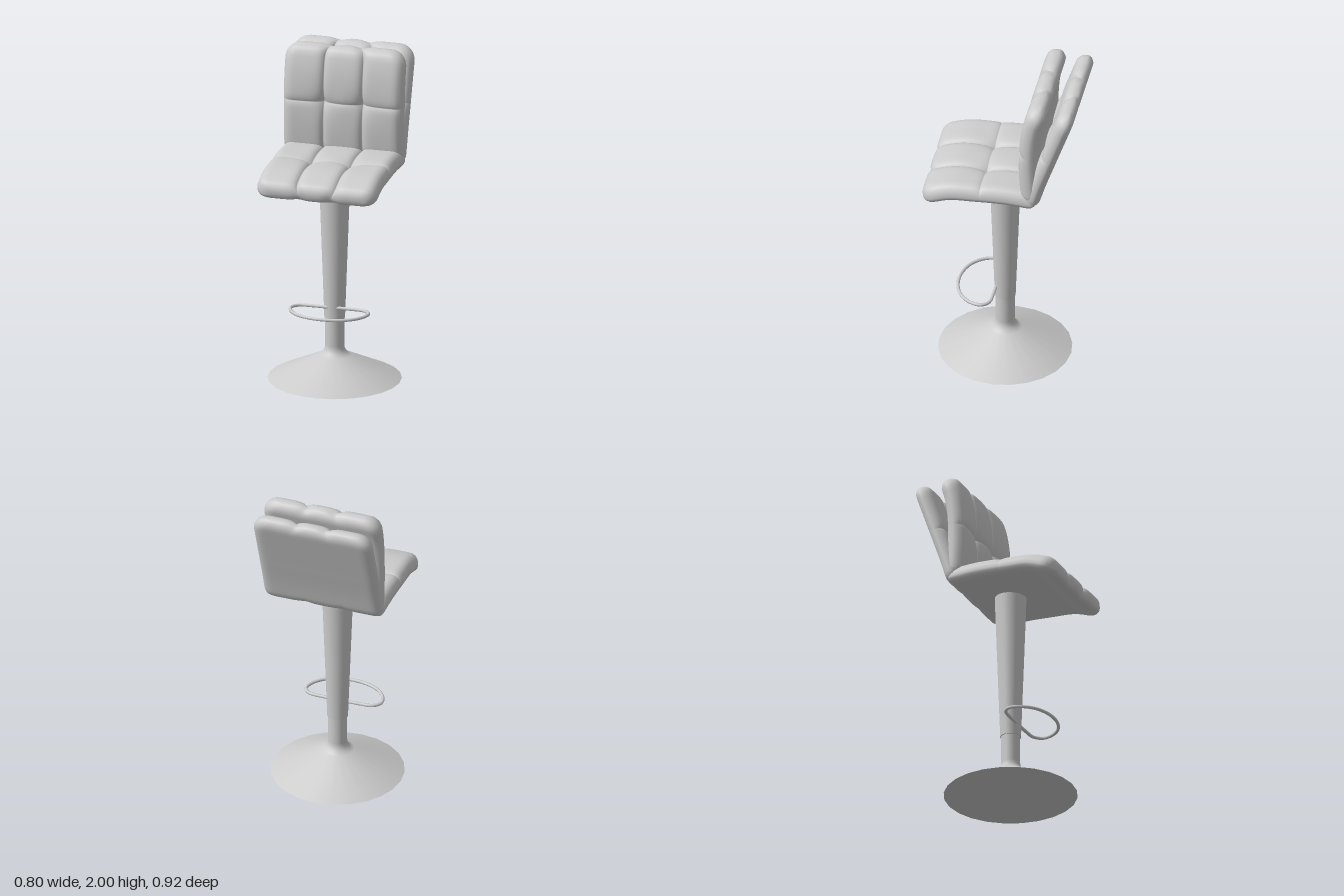
import * as THREE from 'three';
import { mergeVertices } from 'three/addons/utils/BufferGeometryUtils.js';

const grey = new THREE.MeshStandardMaterial({ color: 0xcccccc });
const AXIS_Z = 0.02;  // depth of the column axis
const SEAM_X = 0.12;  // sideways position of the two long seams

function addMesh(parent, name, geometry, x = 0, y = 0, z = 0) {
  const mesh = new THREE.Mesh(geometry, grey);
  mesh.name = name;
  mesh.position.set(x, y, z);
  parent.add(mesh);
  return mesh;
}

// Values running through the stops, packed closely around each stop
function clustered(stops, n) {
  const out = [stops[0]];
  for (let s = 0; s < stops.length - 1; s++) {
    for (let i = 1; i <= n; i++) {
      const t = (1 - Math.cos((Math.PI * i) / n)) / 2;
      out.push(THREE.MathUtils.lerp(stops[s], stops[s + 1], t));
    }
  }
  return out;
}

// Quarter-round rise from 0 to 1 over distance r
function round(d, r) {
  const s = 1 - Math.min(Math.max(d / r, 0), 1);
  return Math.sqrt(1 - s * s);
}

// Tufted cushion: closed loops swept along a [z, y] path, padded on one side
function cushion({ path, halfWidth, seam, front, back, startCorner, endCorner }) {
  const curve = new THREE.CatmullRomCurve3(path.map(([z, y]) => new THREE.Vector3(0, y, z)));
  const length = curve.getLength();
  const rows = clustered([0, seam, 1], 18);
  const k = SEAM_X / halfWidth;
  const cols = clustered([-1, -k, k, 1], 14);
  const n = cols.length - 1;
  const loop = 2 * n;
  const positions = [];
  const index = [];

  rows.forEach((v) => {
    const c = curve.getPointAt(v);
    const t = curve.getTangentAt(v);
    const dStart = v * length;
    const dEnd = (1 - v) * length;
    const d = Math.min(dStart, dEnd);
    // rounded corners in plan
    const w = halfWidth
      - startCorner * (1 - round(dStart, startCorner))
      - endCorner * (1 - round(dEnd, endCorner));
    const dSeam = Math.abs(v - seam) * length;

    for (let j = 0; j < loop; j++) {
      const padded = j <= n;
      const x = cols[padded ? j : loop - j] * w;
      const dx = Math.abs(Math.abs(x) - SEAM_X * w / halfWidth);
      const side = w - Math.abs(x);
      let h;
      if (padded) {
        const groove = 0.026 * Math.exp(-dx / 0.016)
          + 0.012 * Math.exp(-dSeam / 0.018)
          + 0.028 * Math.exp(-Math.hypot(dx, dSeam) / 0.055);
        h = (front - Math.min(groove, front * 0.8)) * round(side, 0.06) * round(d, 0.07);
      } else {
        h = -back * round(side, 0.06) * round(d, 0.06);
      }
      // scalloped ends where the long seams run out
      const pull = 0.013 * Math.exp(-((dx / 0.04) ** 2))
        * (Math.exp(-dStart / 0.06) - Math.exp(-dEnd / 0.06));
      positions.push(x, c.y + t.z * h + t.y * pull, c.z - t.y * h + t.z * pull);
    }
  });

  for (let i = 0; i < rows.length - 1; i++) {
    for (let j = 0; j < loop; j++) {
      const a = i * loop + j;
      const b = i * loop + ((j + 1) % loop);
      index.push(a, a + loop, b + loop, a, b + loop, b);
    }
  }
  let geometry = new THREE.BufferGeometry();
  geometry.setAttribute('position', new THREE.Float32BufferAttribute(positions, 3));
  geometry.setIndex(index);
  geometry = mergeVertices(geometry, 1e-5);
  geometry.computeVertexNormals();
  return geometry;
}

export function createModel() {
  const stool = new THREE.Group();
  stool.name = 'barStool';

  // Conical foot flowing into the lower pole
  const profile = [[0.4, 0], [0.1, 0.145], [0.085, 0.154], [0.07, 0.168],
    [0.06, 0.187], [0.057, 0.21], [0.057, 0.4]].map(([r, y]) => new THREE.Vector2(r, y));
  addMesh(stool, 'base', new THREE.LatheGeometry(profile, 24), 0, 0, AXIS_Z);
  const underside = addMesh(stool, 'baseUnderside', new THREE.CircleGeometry(0.4, 24), 0, 0, AXIS_Z);
  underside.rotation.x = Math.PI / 2;

  // Flared column
  addMesh(stool, 'column', new THREE.CylinderGeometry(0.095, 0.062, 0.92, 32), 0, 0.84, AXIS_Z);

  // Footrest loop: straight at the column, bowed at the front
  const half = [[0, 0.07], [0.12, 0.07], [0.2, 0.078], [0.238, 0.12], [0.225, 0.185],
    [0.17, 0.25], [0.09, 0.288]];
  const loop = [...half, [0, 0.3], ...half.slice(1).reverse().map(([x, z]) => [-x, z])];
  const ring = new THREE.CatmullRomCurve3(loop.map(([x, z]) => new THREE.Vector3(x, 0.455, z)), true);
  addMesh(stool, 'footrest', new THREE.TubeGeometry(ring, 72, 0.01, 8, true));

  // Seat with a drooping front edge
  addMesh(stool, 'seat', cushion({
    path: [[-0.23, 1.32], [-0.05, 1.333], [0.15, 1.328], [0.29, 1.32], [0.39, 1.29], [0.458, 1.262]],
    halfWidth: 0.372, seam: 0.48, front: 0.072, back: 0.043, startCorner: 0.03, endCorner: 0.08,
  }));

  // Two backrest pads, paths from top to bottom
  addMesh(stool, 'frontBackrest', cushion({
    path: [[-0.257, 2.0], [-0.215, 1.87], [-0.195, 1.74], [-0.19, 1.55], [-0.205, 1.33]],
    halfWidth: 0.372, seam: 0.51, front: 0.066, back: 0.05, startCorner: 0.1, endCorner: 0.05,
  }));
  addMesh(stool, 'rearBackrest', cushion({
    path: [[-0.43, 1.98], [-0.37, 1.81], [-0.3, 1.61], [-0.245, 1.45], [-0.2, 1.3]],
    halfWidth: 0.375, seam: 0.49, front: 0.06, back: 0.042, startCorner: 0.1, endCorner: 0.06,
  }));

  return stool;
}
